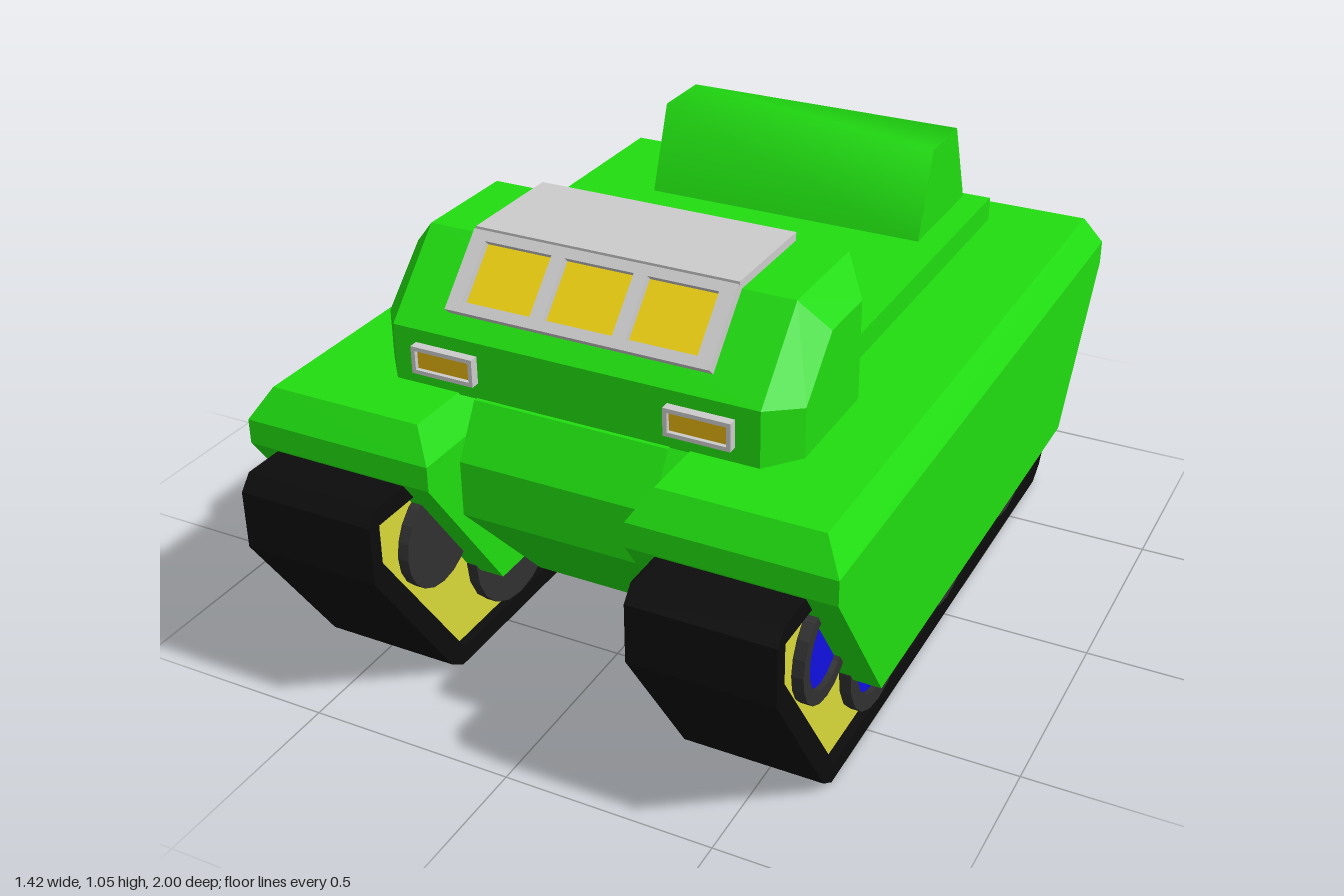
import * as THREE from 'three';
import { ConvexGeometry } from 'three/addons/geometries/ConvexGeometry.js';

const paint = (color, extra = {}) => new THREE.MeshStandardMaterial({ color, ...extra });

export function createModel() {
  const model = new THREE.Group();
  const green = paint(0x20dd10);
  const grey = paint(0xcccccc);
  const black = paint(0x0c0c0c);
  const yellow = paint(0xd8d838);
  const rubber = paint(0x303030, { flatShading: true, side: THREE.DoubleSide });
  const blue = paint(0x1010e0);
  const glass = paint(0xeccf10);
  const amber = paint(0xe0b010);

  const add = (name, geometry, material, parent = model) => {
    const mesh = new THREE.Mesh(geometry, material);
    mesh.name = name;
    parent.add(mesh);
    return mesh;
  };
  const box = (name, material, x0, x1, y0, y1, z0, z1) =>
    add(name, new THREE.BoxGeometry(x1 - x0, y1 - y0, z1 - z0), material)
      .position.set((x0 + x1) / 2, (y0 + y1) / 2, (z0 + z1) / 2);
  // Places a [z, y] profile at a given x
  const at = (x, profile) => profile.map(([z, y]) => new THREE.Vector3(x, y, z));
  // Extrudes a [z, y] profile sideways, centred on x
  const slab = (outline, width, x, hole) => {
    const toPoints = list => list.map(([z, y]) => new THREE.Vector2(z, y));
    const shape = new THREE.Shape(toPoints(outline));
    if (hole) shape.holes.push(new THREE.Path(toPoints(hole)));
    return new THREE.ExtrudeGeometry(shape, { depth: width, bevelEnabled: false })
      .translate(0, 0, -width / 2).rotateY(-Math.PI / 2).translate(x, 0, 0);
  };
  // Completes a half outline by mirroring it front to back
  const mirrored = half => [...half, ...half.map(([z, y]) => [-z, y]).reverse()];
  const rect = (path, x0, x1, y0, y1) =>
    path.moveTo(x0, y0).lineTo(x1, y0).lineTo(x1, y1).lineTo(x0, y1).closePath();

  // Central hull
  const hull = [[0.68, 0.72], [0.75, 0.6], [0.75, 0.465], [0.45, 0.145],
    [-0.62, 0.145], [-0.885, 0.6], [-0.885, 0.72]];
  add('hull', new ConvexGeometry([...at(-0.238, hull), ...at(0.238, hull)]), green);

  // Raised deck
  box('deck', green, -0.44, 0.44, 0.715, 0.783, -0.757, 0.6);

  // Cabin with bevelled cheeks
  const cabinCore = [[0.67, 0.718], [0.67, 0.855], [0.5, 1.03], [0.228, 1.03], [0.228, 0.718]];
  const cabinCheek = [[0.59, 0.718], [0.59, 0.84], [0.465, 0.96], [0.305, 0.96], [0.305, 0.718]];
  add('cabin', new ConvexGeometry([-1, 1].flatMap(s =>
    [...at(s * 0.445, cabinCore), ...at(s * 0.51, cabinCheek)])), green);

  // Windscreen frame lying on the cabin slope, with three panes
  const windscreen = new THREE.Group();
  windscreen.name = 'windscreen';
  windscreen.position.set(0, 0.893, 0.633);
  windscreen.rotation.x = -Math.atan2(0.17, 0.175);
  model.add(windscreen);
  const frame = rect(new THREE.Shape(), -0.32, 0.32, 0, 0.192);
  for (const x of [-0.2, 0, 0.2]) {
    frame.holes.push(rect(new THREE.Path(), x - 0.084, x + 0.084, 0.025, 0.168));
    add('windowPane', new THREE.PlaneGeometry(0.17, 0.145), glass, windscreen)
      .position.set(x, 0.0965, 0.006);
  }
  add('windowFrame', new THREE.ExtrudeGeometry(frame, { depth: 0.024, bevelEnabled: false }),
    grey, windscreen);
  box('roofPlate', grey, -0.32, 0.32, 1.02, 1.05, 0.228, 0.51);

  // Rear hump: smooth band over the top, flat ends
  const hump = [[-0.408, 0.78], [-0.487, 1], [-0.655, 1], [-0.74, 0.78]];
  const band = new THREE.BufferGeometry();
  band.setAttribute('position', new THREE.Float32BufferAttribute(
    hump.flatMap(([z, y]) => [-0.372, y, z, 0.372, y, z]), 3));
  band.setIndex([0, 2, 4].flatMap(i => [i, i + 1, i + 2, i + 1, i + 3, i + 2]));
  band.computeVertexNormals();
  add('rearHump', band, green);
  add('rearHumpEnds', slab(hump.map(([z, y]) => [z, y - 0.001]), 0.744, 0), green);

  // Track, plate and skirt profiles
  const belt = mirrored([[0.7, 0], [0.745, 0.03], [1, 0.41], [1, 0.55], [0.97, 0.585]]);
  const plate = mirrored([[0.69, 0.045], [0.965, 0.445], [0.965, 0.54]]);
  const skirt = [[0.873, 0.65], [0.873, 0.59], [0.61, 0.215],
    [-0.645, 0.215], [-0.91, 0.59], [-0.91, 0.65]];
  const skirtTop = [[0.83, 0.722], [-0.875, 0.722]];
  // Wheels: [z, y, tyre radius, hub radius]
  const wheels = [[0.445, 0.233, 0.18, 0.142], [0, 0.233, 0.18, 0.142], [-0.45, 0.233, 0.18, 0.142],
    [0.755, 0.4, 0.127, 0.096], [-0.755, 0.4, 0.127, 0.096]];

  for (const s of [-1, 1]) {
    // Fender with side skirts and chamfered top
    add('fender', new ConvexGeometry([...at(s * 0.238, skirt), ...at(s * 0.71, skirt),
      ...at(s * 0.285, skirtTop), ...at(s * 0.665, skirtTop)]), green);

    // Track belt around its side plate
    add('trackBelt', slab(belt, 0.335, s * 0.4725, plate), black);
    add('trackPlate', slab(plate, 0.29, s * 0.4725), yellow);

    // Wheels with recessed hubs on the outside
    for (const [z, y, tyreRadius, hubRadius] of wheels) {
      const wheel = new THREE.Group();
      wheel.name = 'wheel';
      wheel.position.set(s * 0.4725, y, z);
      wheel.rotation.z = -s * Math.PI / 2;
      model.add(wheel);
      const section = [[0, -0.172], [tyreRadius, -0.172], [tyreRadius, 0.172],
        [hubRadius, 0.172], [hubRadius, 0.14]].map(p => new THREE.Vector2(...p));
      add('tyre', new THREE.LatheGeometry(section, 20), rubber, wheel);
      add('hub', new THREE.CylinderGeometry(hubRadius, hubRadius, 0.02, 20), blue, wheel)
        .position.y = 0.148;
    }

    // Headlight: grey surround with a recessed lamp
    const lamp = new THREE.Group();
    lamp.name = 'headlight';
    lamp.position.set(s * 0.31, 0.79, 0.665);
    model.add(lamp);
    const surround = rect(new THREE.Shape(), -0.078, 0.078, -0.033, 0.033);
    surround.holes.push(rect(new THREE.Path(), -0.068, 0.068, -0.023, 0.023));
    add('headlightSurround', new THREE.ExtrudeGeometry(surround, { depth: 0.027, bevelEnabled: false }),
      grey, lamp);
    add('headlightLens', new THREE.PlaneGeometry(0.14, 0.05), amber, lamp).position.z = 0.017;
  }
  return model;
}
